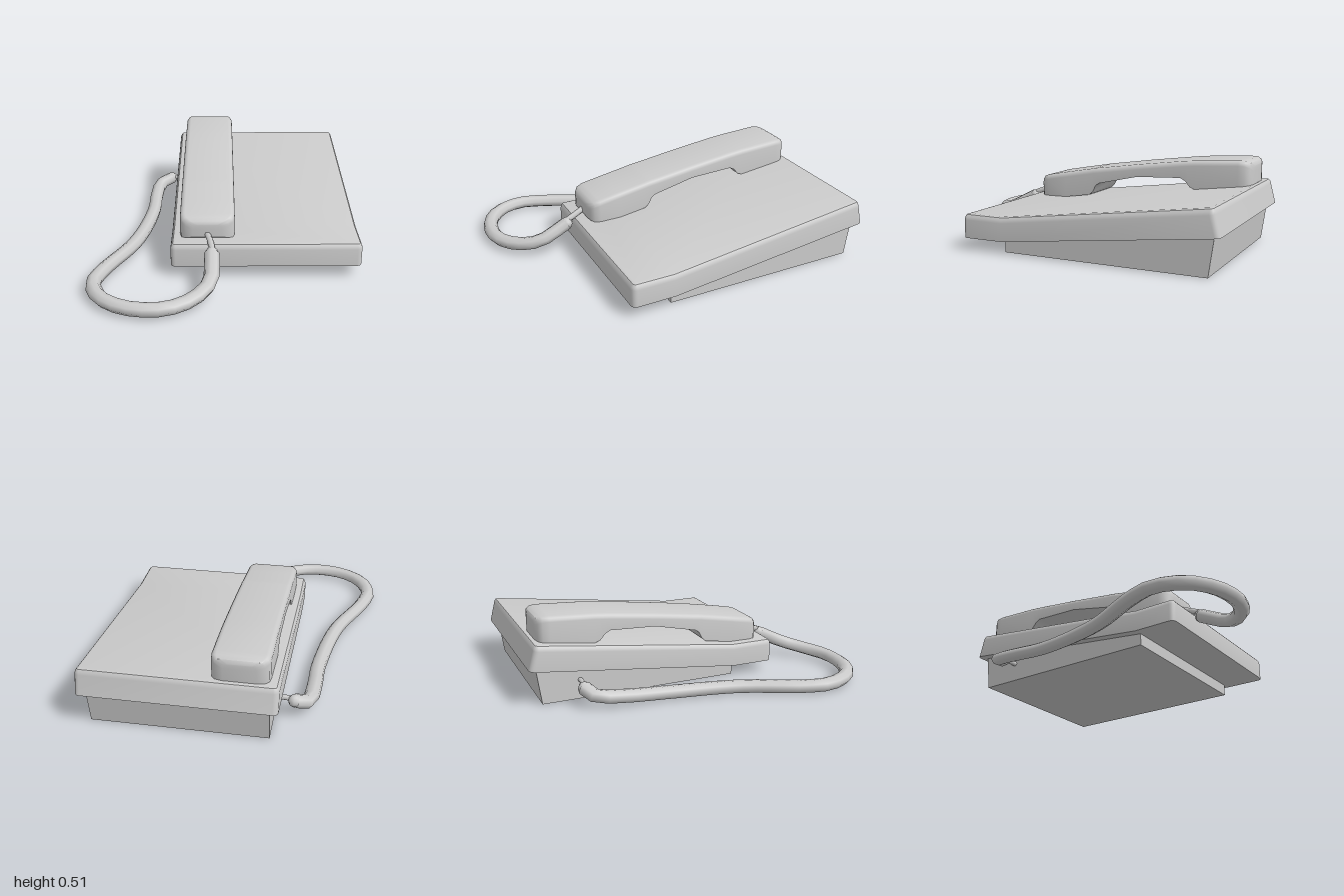
import * as THREE from 'three';
import { toCreasedNormals } from 'three/addons/utils/BufferGeometryUtils.js';

const lerp = THREE.MathUtils.lerp;
const material = new THREE.MeshStandardMaterial({ color: 0xcccccc });

function addMesh(group, name, geometry) {
  const mesh = new THREE.Mesh(geometry, material);
  mesh.name = name;
  group.add(mesh);
  return mesh;
}

// Joins rings of points (mirror-paired, first with last) and caps both ends
function loft(rings, crease = 0.6) {
  const n = rings[0].length, index = [];
  const quad = (a, b, c, d) => index.push(a, b, c, a, c, d);
  for (let i = 0; i < rings.length - 1; i++) {
    for (let j = 0; j < n; j++) {
      const k = (j + 1) % n, a = i * n, b = a + n;
      quad(a + j, a + k, b + k, b + j);
    }
  }
  const t = (rings.length - 1) * n;
  for (let k = 0; k < n / 2 - 1; k++) {
    quad(t + k, t + k + 1, t + n - 2 - k, t + n - 1 - k);
    quad(n - 1 - k, n - 2 - k, k + 1, k);
  }
  const geometry = new THREE.BufferGeometry();
  geometry.setAttribute('position', new THREE.Float32BufferAttribute(rings.flat(2), 3));
  geometry.setIndex(index);
  return toCreasedNormals(geometry, crease);
}

// Completes a half ring with its mirror image about x = cx
const mirrored = (half, cx) => [
  ...half.map(([x, y, z]) => [cx + x, y, z]),
  ...half.slice().reverse().map(([x, y, z]) => [cx - x, y, z]),
];

const BODY_X = 0.235;
const bodyTop = (z) => 0.21 + Math.max(0, 0.27 - z) * 0.129;
const bodyBottom = (z) => 0.07 + Math.max(0, 0.28 - z) * 0.117;

// Level outline of the body: rounded corners, with a bend point on each side
function bodyRing(inset, level, drop) {
  const hw = 0.555 - inset, r = Math.max(0.03 - inset, 0.004);
  const front = 0.535 - inset, back = lerp(-1, -0.97, level) + inset;
  const half = [];
  for (let i = 0; i <= 4; i++) {
    const a = (i / 4) * Math.PI / 2;
    half.push([hw - r + r * Math.sin(a), front - r + r * Math.cos(a)]);
  }
  half.push([hw, 0.275]);
  for (let i = 0; i <= 4; i++) {
    const a = (i / 4) * Math.PI / 2;
    half.push([hw - r + r * Math.cos(a), back + r - r * Math.sin(a)]);
  }
  return mirrored(half.map(([x, z]) => [x, level ? bodyTop(z) - drop : bodyBottom(z), z]), BODY_X);
}

// Cross-section of the handset: rounded on top, square below
function handsetRing([z, hw, bottom, top]) {
  const r = 0.03, half = [[hw, bottom, z]];
  for (let i = 0; i <= 4; i++) {
    const a = (i / 4) * Math.PI / 2;
    half.push([hw - r + r * Math.cos(a), top - r + r * Math.sin(a), z]);
  }
  return mirrored(half, -0.107);
}

function tube(points, radius, segments, sides) {
  const curve = new THREE.CatmullRomCurve3(points.map((p) => new THREE.Vector3(...p)));
  return new THREE.TubeGeometry(curve, segments, radius, sides, false);
}

export function createModel() {
  const group = new THREE.Group();
  group.name = 'deskTelephone';

  // Sloping upper housing with softened top edges
  addMesh(group, 'body', loft([
    bodyRing(0, 0, 0), bodyRing(0, 1, 0.035), bodyRing(0.004, 1, 0.018),
    bodyRing(0.014, 1, 0.005), bodyRing(0.03, 1, 0),
  ]));

  // Wedge foot under the housing
  addMesh(group, 'base', loft([
    mirrored([[0.505, 0, 0.28], [0.505, 0, -0.925]], BODY_X),
    mirrored([[0.505, 0.07, 0.28], [0.505, 0.215, -0.955]], BODY_X),
  ]));

  // Handset stations from earpiece to mouthpiece: z, half width, bottom, top
  addMesh(group, 'handset', loft([
    [-0.935, 0.09, 0.366, 0.475],
    [-0.925, 0.135, 0.365, 0.495],
    [-0.9, 0.155, 0.361, 0.505],
    [-0.86, 0.16, 0.356, 0.507],
    [-0.6, 0.16, 0.323, 0.492],
    [-0.57, 0.16, 0.335, 0.489],
    [-0.54, 0.16, 0.37, 0.486],
    [-0.51, 0.16, 0.386, 0.483],
    [-0.23, 0.16, 0.374, 0.448],
    [0.03, 0.16, 0.316, 0.411],
    [0.055, 0.16, 0.3, 0.408],
    [0.075, 0.16, 0.26, 0.405],
    [0.1, 0.16, 0.238, 0.4],
    [0.27, 0.16, 0.212, 0.37],
    [0.4, 0.16, 0.211, 0.346],
    [0.435, 0.15, 0.211, 0.336],
    [0.455, 0.125, 0.216, 0.322],
    [0.465, 0.085, 0.225, 0.305],
  ].map(handsetRing), 0.7));

  // Thick cord looping from the rear side, along the ground, up to the handset
  const path = [
    [-0.38, 0.105, -0.71], [-0.45, 0.08, -0.67], [-0.475, 0.06, -0.5], [-0.48, 0.043, -0.27],
    [-0.56, 0.039, 0.17], [-0.71, 0.039, 0.51], [-0.75, 0.042, 0.67], [-0.69, 0.045, 0.83],
    [-0.54, 0.045, 0.935], [-0.33, 0.048, 0.95], [-0.18, 0.06, 0.87], [-0.09, 0.095, 0.75],
    [-0.08, 0.18, 0.575],
  ];
  const flatten = 0.86;
  const cord = addMesh(group, 'cord',
    tube(path.map(([x, y, z]) => [x, y / flatten, z]), 0.045, 32, 8));
  cord.scale.y = flatten;

  // Closed ends of the cord
  [path[0], path[path.length - 1]].forEach((p, i) => {
    const end = addMesh(group, i ? 'cordFrontEnd' : 'cordRearEnd', new THREE.SphereGeometry(0.04, 8, 6));
    end.position.set(...p);
    end.scale.setScalar(0.94);
  });

  // Thin leads joining the cord to the base and the handset
  addMesh(group, 'rearLead', tube([[-0.26, 0.115, -0.7], [-0.33, 0.115, -0.7], [-0.4, 0.105, -0.705]], 0.015, 4, 6));
  addMesh(group, 'frontLead', tube([[-0.075, 0.195, 0.59], [-0.09, 0.225, 0.51], [-0.115, 0.25, 0.43]], 0.018, 4, 6));

  return group;
}
